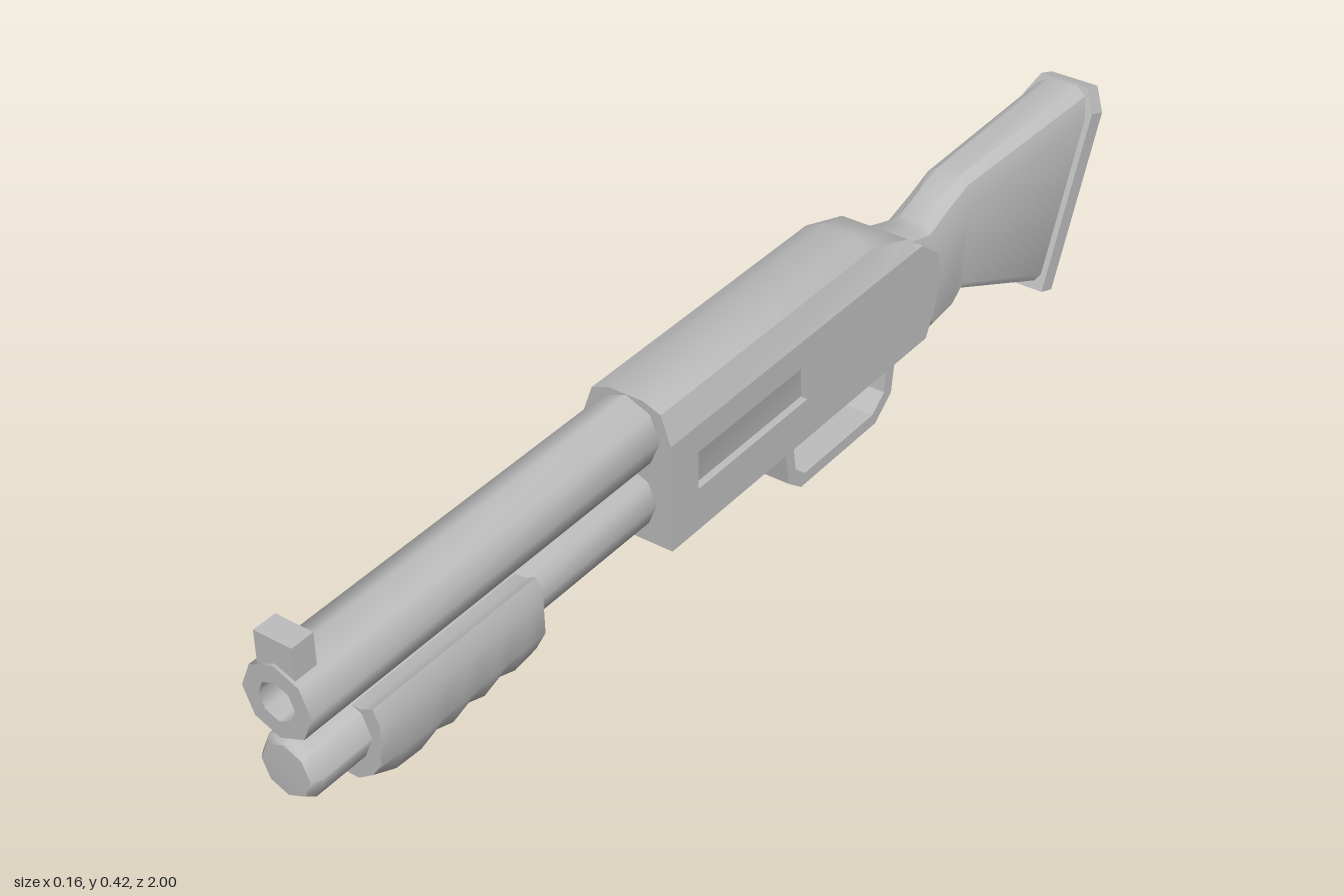
import * as THREE from 'three';
import { toCreasedNormals } from 'three/addons/utils/BufferGeometryUtils.js';

const grey = new THREE.MeshStandardMaterial({ color: 0xbdbdbd });
grey.name = 'grey';

// right half outline, listed bottom to top, mirrored into a closed loop
const mirror = half => [...half, ...half.slice().reverse().map(([x, y]) => [-x, y])];

// skin with end caps over loops of [x, y, z], ordered from front to back
function loft(loops, crease = 0.6) {
  const n = loops[0].length, pos = loops.flat(2), index = [];
  loops.slice(1).forEach((_, s) => {
    for (let i = 0; i < n; i++) {
      const j = (i + 1) % n, a = s * n + i, b = s * n + j, c = b + n, d = a + n;
      index.push(a, d, c, a, c, b);
    }
  });
  [0, loops.length - 1].forEach(s => {
    const centre = pos.length / 3;
    for (let k = 0; k < 3; k++) pos.push(loops[s].reduce((t, p) => t + p[k], 0) / n);
    for (let i = 0; i < n; i++) {
      const a = s * n + i, b = s * n + (i + 1) % n;
      index.push(centre, ...(s === 0 ? [a, b] : [b, a]));
    }
  });
  const g = new THREE.BufferGeometry();
  g.setAttribute('position', new THREE.Float32BufferAttribute(pos, 3));
  g.setIndex(index);
  return toCreasedNormals(g, crease);
}

// plate drawn in side profile (z, y), centred on x
function sidePlate(points, width, x = 0, hole) {
  const toPts = list => list.map(p => new THREE.Vector2(...p));
  const shape = new THREE.Shape(toPts(points));
  if (hole) shape.holes.push(new THREE.Path(toPts(hole)));
  const g = new THREE.ExtrudeGeometry(shape, { depth: width, bevelEnabled: false });
  return g.translate(0, 0, -width / 2).rotateY(-Math.PI / 2).translate(x, 0, 0);
}

// tube along z from a profile of [radius, z]
function turned(profile, y) {
  const g = new THREE.LatheGeometry(profile.map(p => new THREE.Vector2(...p)), 8);
  return toCreasedNormals(g.rotateX(Math.PI / 2).translate(0, y, 0), 0.85);
}

// loop lying on a plane that leans from (zTop, yTop) to (zBottom, yBottom)
function leaning(half, zTop, yTop, zBottom, yBottom) {
  return mirror(half).map(([x, y]) =>
    [x, y, zBottom + (zTop - zBottom) * (y - yBottom) / (yTop - yBottom)]);
}

export function createModel() {
  const model = new THREE.Group();
  const add = (name, geometry) => {
    const mesh = new THREE.Mesh(geometry, grey);
    mesh.name = name;
    model.add(mesh);
  };

  // barrel with open bore, lower tube with bevelled cap, front sight
  add('barrel', turned([[0.059, 0.2], [0.059, 1], [0.031, 1], [0.031, 0.85], [0, 0.85]], 0.322));
  add('lowerTube', turned([[0.051, 0.2], [0.051, 0.985], [0.042, 0.998], [0, 1]], 0.207));
  add('frontSight', new THREE.BoxGeometry(0.064, 0.06, 0.04).translate(0, 0.39, 0.975));

  // sliding fore-end with a ridged underside
  const pump = (z, drop, shrink = 1) => mirror([
    [0.022 * shrink, drop], [0.05 * shrink, drop + 0.018], [0.068 * shrink, 0.168],
    [0.067, 0.235], [0.056, 0.26], [0.036, 0.25],
  ]).map(([x, y]) => [x, y, z]);
  const ridges = [];
  for (let i = 0; i < 7; i++) ridges.push(pump(0.8 - i * 0.033, i % 2 ? 0.118 : 0.107));
  add('foreEnd', loft([pump(0.89, 0.125, 0.92), pump(0.85, 0.11), ...ridges, pump(0.555, 0.114)], 0.7));

  // receiver body: rounded top that is cut down in a slope at the back
  const body = [[0.066, 0.137], [0.066, 0.3], [0.078, 0.322], [0.061, 0.37], [0.03, 0.382]];
  const cut = (z, top, zLow = z) => mirror(body).map(([x, y]) =>
    [x, Math.min(y, top), y < 0.2 ? zLow : z]);
  add('receiver', loft([cut(0.275, 0.4), cut(-0.267, 0.4), cut(-0.37, 0.337), cut(-0.44, 0.28, -0.41)]));

  // receiver sides, each with a recessed slot
  const side = [[0.275, 0.137], [0.275, 0.322], [-0.388, 0.322], [-0.44, 0.28],
    [-0.445, 0.222], [-0.43, 0.175], [-0.41, 0.137]];
  const slot = [[0.21, 0.21], [-0.07, 0.21], [-0.07, 0.275], [0.21, 0.275]];
  for (const s of [1, -1]) {
    add(s > 0 ? 'leftReceiverSide' : 'rightReceiverSide', sidePlate(side, 0.012, s * 0.072, slot));
  }

  // trigger guard loop and trigger
  add('triggerGuard', sidePlate([
    [-0.05, 0.145], [-0.065, 0.042], [-0.1, 0.015], [-0.312, 0.015], [-0.357, 0.05], [-0.37, 0.145],
    [-0.347, 0.145], [-0.336, 0.062], [-0.303, 0.036], [-0.11, 0.036], [-0.085, 0.052], [-0.072, 0.145],
  ], 0.098));
  add('trigger', sidePlate([[-0.208, 0.145], [-0.216, 0.1], [-0.228, 0.062], [-0.238, 0.09], [-0.24, 0.145]], 0.028));

  // shoulder stock: [zTop, yTop, zBottom, yBottom, half width]
  const stock = [
    [-0.38, 0.325, -0.38, 0.14, 0.05], [-0.44, 0.306, -0.44, 0.137, 0.05],
    [-0.475, 0.297, -0.48, 0.108, 0.049], [-0.535, 0.317, -0.545, 0.112, 0.047],
    [-0.59, 0.334, -0.57, 0.136, 0.048], [-0.97, 0.335, -0.82, 0.025, 0.057],
  ].map(([zt, yt, zb, yb, w]) => leaning([
    [w * 0.85, yb], [w, yb + 0.012], [w, yt - 0.045], [w * 0.8, yt - 0.012], [w * 0.45, yt],
  ], zt, yt, zb, yb));
  add('stock', loft(stock));

  // slanted butt plate with clipped top corners
  const butt = (drop, zt, zb) => leaning(
    [[0.067, 0.013 - drop], [0.067, 0.3 - drop], [0.045, 0.337 - drop]], zt, 0.337 - drop, zb, 0.013 - drop);
  add('buttPlate', loft([butt(0, -0.963, -0.81), butt(0.013, -1, -0.845)], 0.3));

  return model;
}
